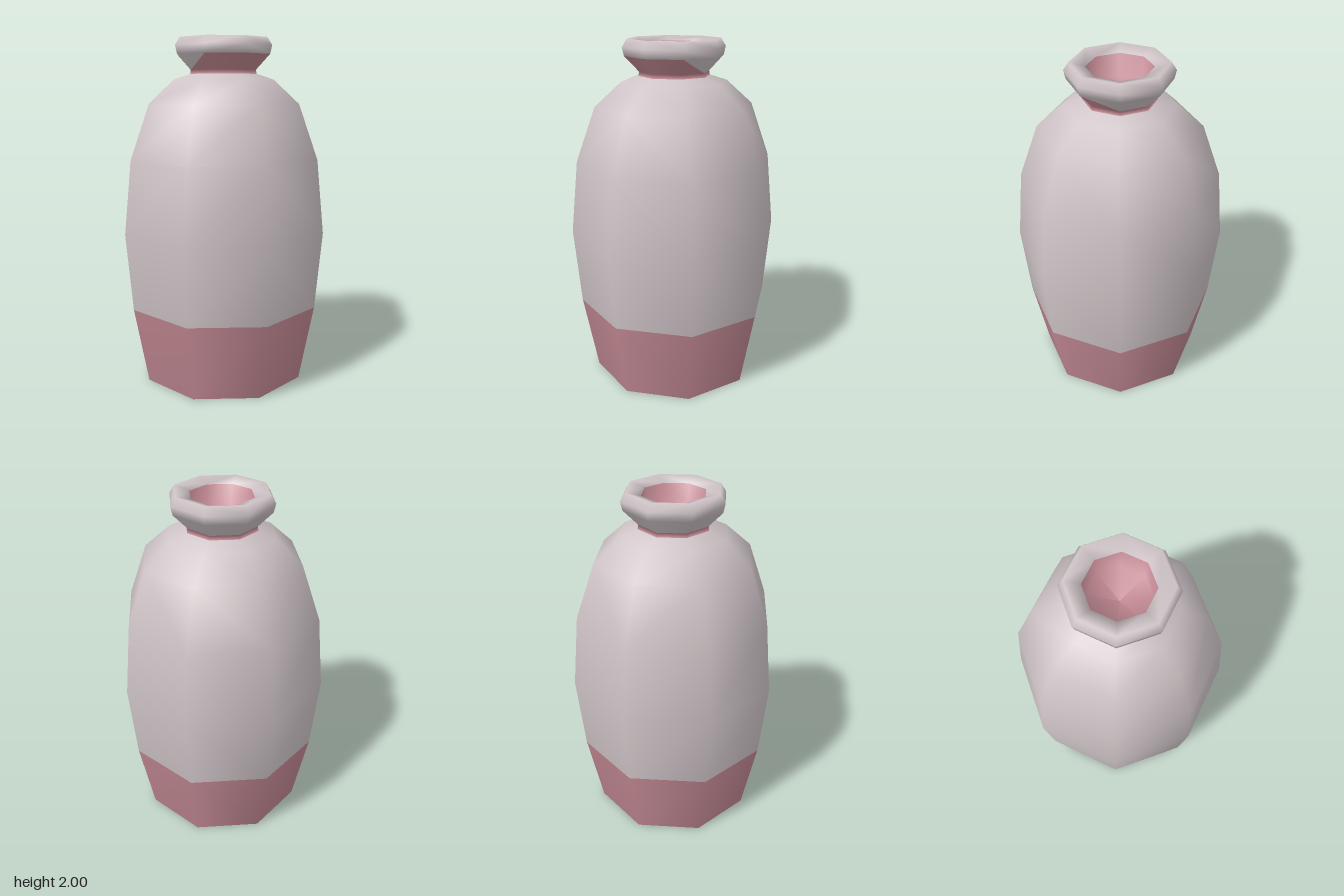
import * as THREE from 'three';

const SIDES = 8;

// Radius and height, from the foot up the outside, over the lip and into the mouth
const PROFILE = [
  [0.485, 0], [0.57, 0.45], [0.61, 0.9], [0.567, 1.32], [0.455, 1.63],
  [0.305, 1.765], [0.205, 1.797], [0.2, 1.82], [0.283, 1.907], [0.294, 1.955],
  [0.265, 2], [0.18, 1.975], [0.165, 1.86], [0, 1.81],
].map(([r, y]) => new THREE.Vector2(r, y));

const FOOT = 0, NECK = 6, LIP_UNDERSIDE = 7, MOUTH = 11;

export function createModel() {
  const glaze = new THREE.MeshStandardMaterial({ color: 0xcfc4c7 });
  glaze.name = 'pale grey glaze';
  const clay = new THREE.MeshStandardMaterial({ color: 0xc08791 });
  clay.name = 'dusty pink clay';

  const group = new THREE.Group();
  group.name = 'vase';
  const add = (name, geometry, material) => {
    const mesh = new THREE.Mesh(geometry, material);
    mesh.name = name;
    group.add(mesh);
    return mesh;
  };

  // One smooth lathe whose triangles are shared out between the parts
  const lathe = new THREE.LatheGeometry(PROFILE, SIDES);
  const n = PROFILE.length;
  const parts = { glazedBody: [], foot: [], neck: [], mouth: [] };
  for (let i = 0; i < SIDES; i++) {
    for (let j = 0; j < n - 1; j++) {
      const a = i * n + j, b = a + n, c = b + 1, d = a + 1;
      // Diagonals are mirrored left to right
      const [lower, upper] = i < SIDES / 2
        ? [[a, b, d], [b, c, d]]
        : [[a, b, c], [a, c, d]];
      let low = 'glazedBody', high = 'glazedBody';
      if (j === FOOT) low = high = 'foot';
      if (j === NECK) low = high = 'neck';
      if (j >= MOUTH) low = high = 'mouth';
      // Bare patch under the front of the lip, tapering off to both sides
      if (j === LIP_UNDERSIDE) {
        if (i === 0 || i === SIDES - 1) low = high = 'neck';
        if (i === 1 || i === SIDES - 2) low = 'neck';
      }
      parts[low].push(...lower);
      parts[high].push(...upper);
    }
  }
  for (const [name, index] of Object.entries(parts)) {
    const geometry = lathe.clone();
    geometry.setIndex(index);
    add(name, geometry, name === 'glazedBody' ? glaze : clay);
  }

  // Flat underside
  const base = add('base', new THREE.CircleGeometry(PROFILE[0].x, SIDES), clay);
  base.rotation.x = Math.PI / 2;

  return group;
}
